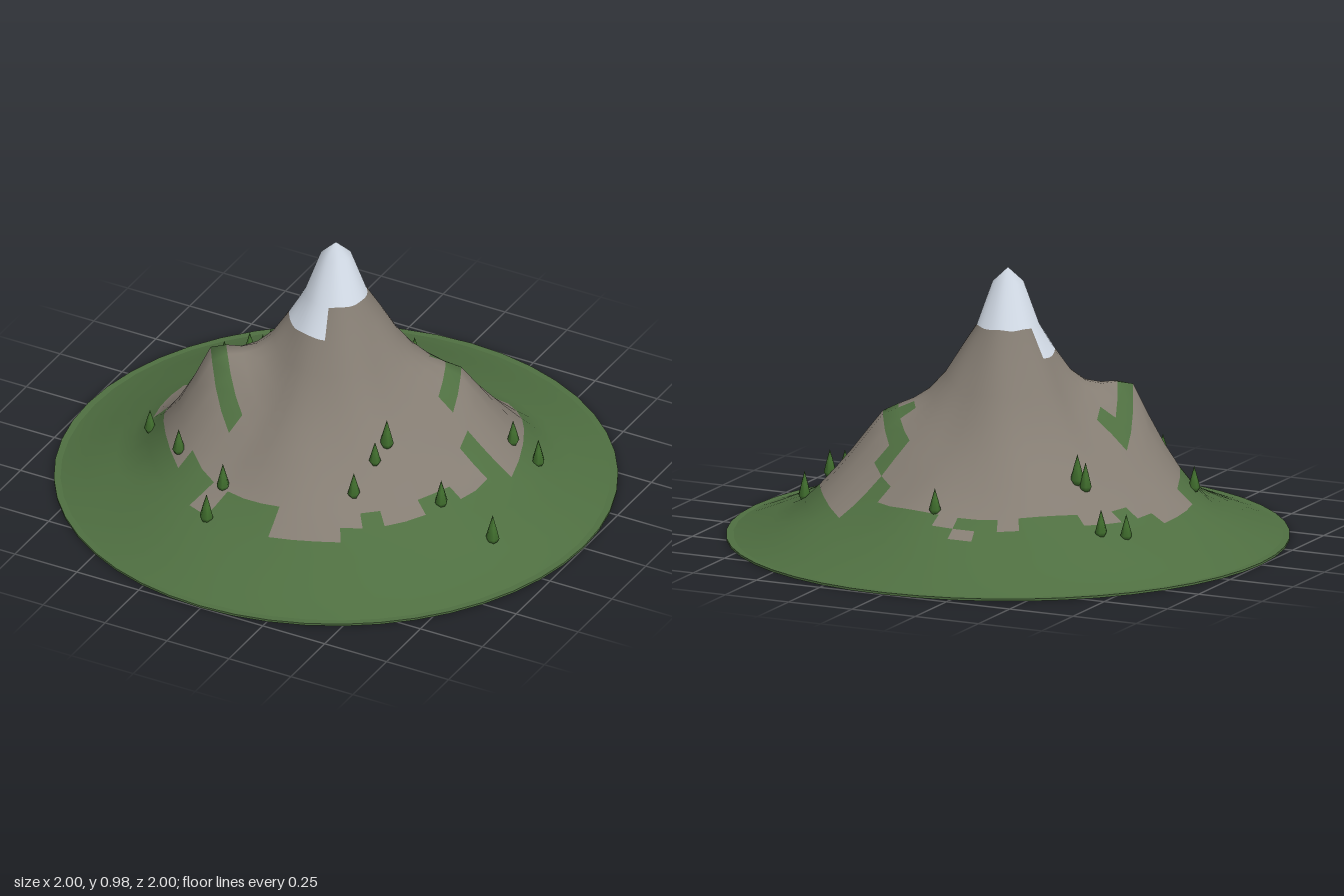
import * as THREE from 'three';

const RINGS = 18, SECTORS = 48;

// Main slope: radius, height
const PROFILE = [
  [0, 0.98], [0.055, 0.93], [0.11, 0.775], [0.165, 0.675], [0.22, 0.56], [0.28, 0.46],
  [0.35, 0.37], [0.42, 0.3], [0.5, 0.23], [0.57, 0.185], [0.65, 0.145], [0.75, 0.1],
  [0.85, 0.055], [0.93, 0.022], [1, 0],
];

// Side peaks: position, added height, spread, sharpness
const PEAKS = [
  { x: -0.37, z: 0.235, height: 0.3, spread: 0.3, power: 1.5 },
  { x: 0.4, z: -0.2, height: 0.19, spread: 0.33, power: 1.3 },
];

// Ring at which rock gives way to grass, one hex digit per sector
const ROCK_LIMIT = 'bbaabbabcccaaacaabbbbbcccbabbaaabaabaaaa9cccccc9';

// Tree positions: x, z
const TREES = [
  [-0.62, -0.31], [-0.55, -0.37], [-0.41, -0.21], [-0.38, -0.215], [0.02, -0.545],
  [0.6, -0.21], [0.68, -0.25], [0.32, 0.21], [0.31, 0.28], [0.29, 0.4], [0.55, 0.23],
  [0.755, 0.225], [-0.595, 0.285], [-0.395, 0.44], [-0.17, 0.525], [-0.165, 0.655],
];

function heightAt(x, z) {
  const r = Math.min(Math.hypot(x, z), 1);
  let i = 0;
  while (i < PROFILE.length - 2 && PROFILE[i + 1][0] < r) i++;
  const [r0, h0] = PROFILE[i], [r1, h1] = PROFILE[i + 1];
  let h = THREE.MathUtils.lerp(h0, h1, (r - r0) / (r1 - r0));
  for (const p of PEAKS) {
    const d = Math.hypot(x - p.x, z - p.z) / p.spread;
    if (d < 1) h += p.height * Math.pow(1 - d, p.power);
  }
  // Gentle gullies around the middle of the slope
  h += 0.006 * Math.sin(Math.atan2(z, x) * 7 + r * 9) * Math.sin(Math.PI * r);
  return r >= 1 ? 0 : h;
}

// 0 grass, 1 rock, 2 snow
function coverAt(ring, sector) {
  if (ring < 2 || (ring === 2 && sector >= 10 && sector <= 25)) return 2;
  const ledge = (ring === 7 && ((sector >= 16 && sector <= 22) || (sector >= 41 && sector <= 46)))
    || (ring === 6 && (sector === 22 || sector === 43)) || (ring === 8 && sector === 41);
  if (ledge) return 0;
  if (ring === 11 && sector === 34) return 1;
  return ring < parseInt(ROCK_LIMIT[sector], 16) ? 1 : 0;
}

// Polar height field with one material group for each ground cover
function terrainGeometry() {
  const positions = [0, heightAt(0, 0), 0];
  for (let i = 1; i <= RINGS; i++) {
    for (let j = 0; j < SECTORS; j++) {
      const a = (j / SECTORS) * Math.PI * 2, r = i / RINGS;
      const x = r * Math.cos(a), z = r * Math.sin(a);
      positions.push(x, heightAt(x, z), z);
    }
  }
  const vertex = (i, j) => (i === 0 ? 0 : 1 + (i - 1) * SECTORS + (j % SECTORS));
  const faces = [[], [], []];
  for (let i = 0; i < RINGS; i++) {
    for (let j = 0; j < SECTORS; j++) {
      const a = vertex(i, j), b = vertex(i + 1, j), c = vertex(i + 1, j + 1), d = vertex(i, j + 1);
      const list = faces[coverAt(i, j)];
      list.push(a, c, b);
      if (i > 0) list.push(a, d, c);
    }
  }
  const geometry = new THREE.BufferGeometry();
  geometry.setAttribute('position', new THREE.Float32BufferAttribute(positions, 3));
  geometry.setIndex(faces.flat());
  let start = 0;
  faces.forEach((list, k) => {
    geometry.addGroup(start, list.length, k);
    start += list.length;
  });
  geometry.computeVertexNormals();
  return geometry;
}

function material(name, color) {
  const m = new THREE.MeshStandardMaterial({ color });
  m.name = name;
  return m;
}

export function createModel() {
  const model = new THREE.Group();
  model.name = 'mountain';
  const grass = material('grass', 0x4f6f41);
  const rock = material('rock', 0x857d73);
  const snow = material('snow', 0xdde6f2);
  const foliage = material('foliage', 0x416f2e);
  const earth = material('earth', 0x69645a);

  // Slopes, side peaks and snow cap
  const terrain = new THREE.Mesh(terrainGeometry(), [grass, rock, snow]);
  terrain.name = 'terrain';
  model.add(terrain);

  // Thin disc with a grassy rim and an earth underside
  const base = new THREE.Mesh(
    new THREE.CylinderGeometry(1, 1, 0.008, SECTORS), [grass, grass, earth]);
  base.name = 'base';
  base.position.y = 0.004;
  model.add(base);

  // Conifers with a tucked-in foot
  const treeShape = new THREE.LatheGeometry(
    [[0, 0], [0.014, 0], [0.024, 0.018], [0.013, 0.06], [0, 0.105]]
      .map(([x, y]) => new THREE.Vector2(x, y)), 6);
  const trees = new THREE.Group();
  trees.name = 'trees';
  TREES.forEach(([x, z], i) => {
    const tree = new THREE.Mesh(treeShape, foliage);
    tree.name = 'tree';
    tree.position.set(x, heightAt(x, z) - 0.008, z);
    tree.rotation.y = i * 1.3;
    tree.scale.setScalar(0.88 + 0.06 * (i % 4));
    trees.add(tree);
  });
  model.add(trees);
  return model;
}
